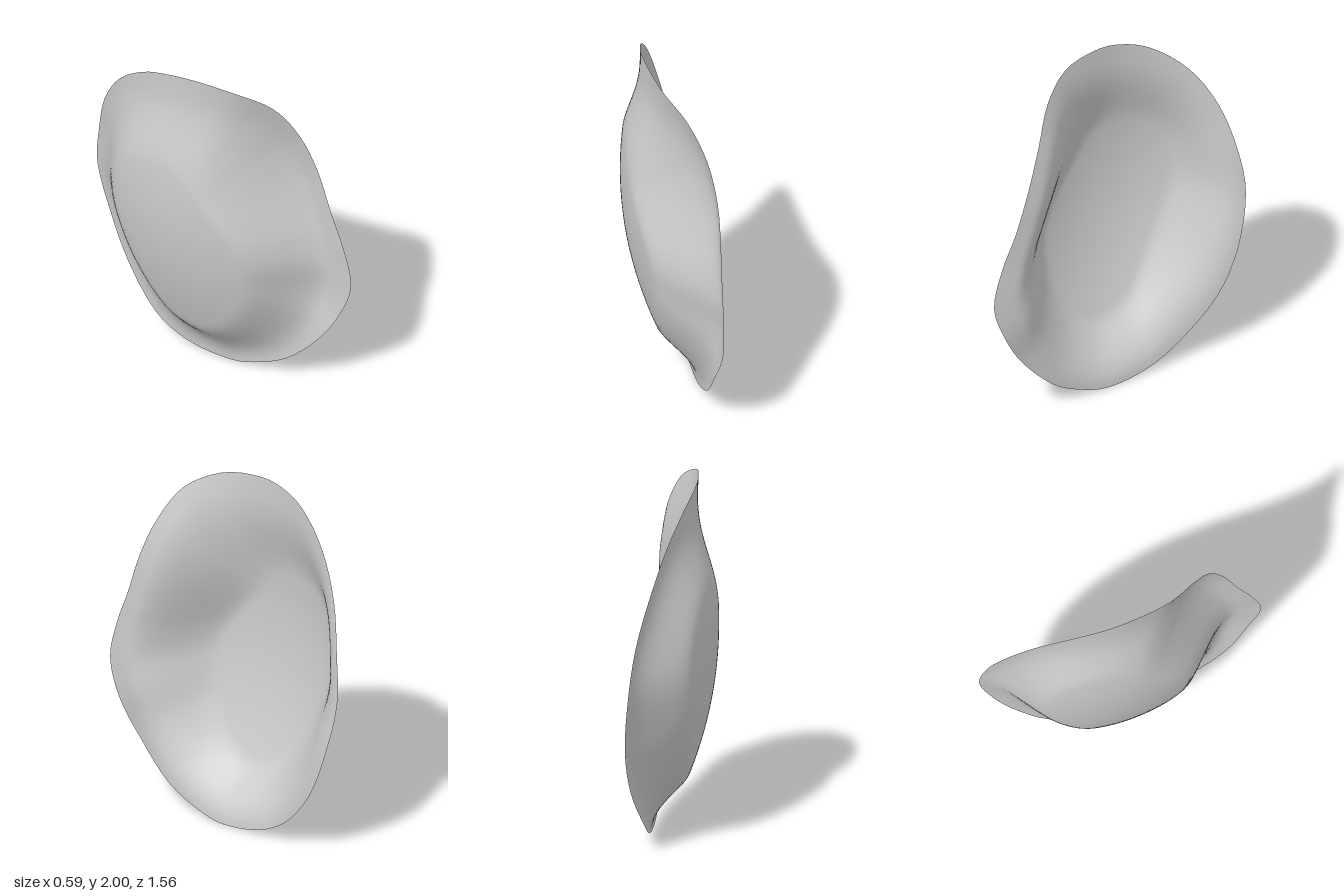
import * as THREE from 'three';
import { mergeVertices } from 'three/addons/utils/BufferGeometryUtils.js';

// Rim stations, top -> front -> bottom -> back: x, y, z, wall position (0 centre, 1 rim), wall half width
const RIM = [
  [-0.15, 2.0, 0.05, 0.67, 0.27],
  [-0.06, 1.97, 0.25, 0.65, 0.3],
  [0.08, 1.87, 0.40, 0.63, 0.3],
  [0.19, 1.68, 0.49, 0.63, 0.28],
  [0.25, 1.45, 0.57, 0.64, 0.25],
  [0.27, 1.2, 0.65, 0.66, 0.22],
  [0.28, 1.0, 0.73, 0.66, 0.2],
  [0.29, 0.77, 0.78, 0.66, 0.19],
  [0.28, 0.55, 0.71, 0.69, 0.18],
  [0.23, 0.34, 0.59, 0.75, 0.18],
  [0.19, 0.14, 0.40, 0.81, 0.18],
  [0.14, 0.035, 0.20, 0.84, 0.17],
  [0.10, 0.0, 0.03, 0.84, 0.17],
  [0.04, 0.035, -0.20, 0.81, 0.19],
  [0.0, 0.15, -0.40, 0.75, 0.23],
  [0.0, 0.38, -0.60, 0.72, 0.26],
  [-0.01, 0.65, -0.72, 0.72, 0.26],
  [-0.05, 0.97, -0.78, 0.74, 0.25],
  [-0.08, 1.25, -0.74, 0.76, 0.23],
  [-0.13, 1.52, -0.65, 0.76, 0.22],
  [-0.17, 1.75, -0.50, 0.75, 0.23],
  [-0.195, 1.91, -0.30, 0.72, 0.25],
  [-0.19, 1.98, -0.12, 0.69, 0.25],
];

// Gently curved floor of the bowl
const floorX = (y, z) => -0.305 + 0.5 * (z + 0.23) ** 2 + 0.21 * (y - 1.18) ** 2;

const loop = points => new THREE.CatmullRomCurve3(points, true, 'catmullrom', 0.5);

function buildShell() {
  const rim = loop(RIM.map(r => new THREE.Vector3(r[0], r[1], r[2])));
  const wall = loop(RIM.map(r => new THREE.Vector3(r[3], r[4], 0)));
  const geo = new THREE.PlaneGeometry(1, 1, 92, 36);
  const pos = geo.attributes.position;
  for (let i = 0; i < pos.count; i++) {
    const t = (0.5 - pos.getX(i) + 1) % 1;
    const s = pos.getY(i) + 0.5;
    const edge = rim.getPoint(t), w = wall.getPoint(t);
    const y = THREE.MathUtils.lerp(1.0, edge.y, s);
    const z = THREE.MathUtils.lerp(-0.05, edge.z, s);
    // The floor climbs the wall, then flares out to the rim
    const climb = THREE.MathUtils.smoothstep(s, w.x - w.y, Math.min(1, w.x + w.y));
    const blend = 0.87 * climb + 0.13 * s ** 3;
    pos.setXYZ(i, THREE.MathUtils.lerp(floorX(y, z), edge.x, blend), y, z);
  }
  // Weld the seam and the centre so shading is continuous
  geo.deleteAttribute('uv');
  geo.deleteAttribute('normal');
  const welded = mergeVertices(geo, 1e-4);
  welded.computeVertexNormals();
  return welded;
}

export function createModel() {
  const group = new THREE.Group();
  group.name = 'curvedShell';
  const material = new THREE.MeshStandardMaterial({ color: 0xcccccc, side: THREE.DoubleSide });
  const shell = new THREE.Mesh(buildShell(), material);
  shell.name = 'shell';
  group.add(shell);
  return group;
}
